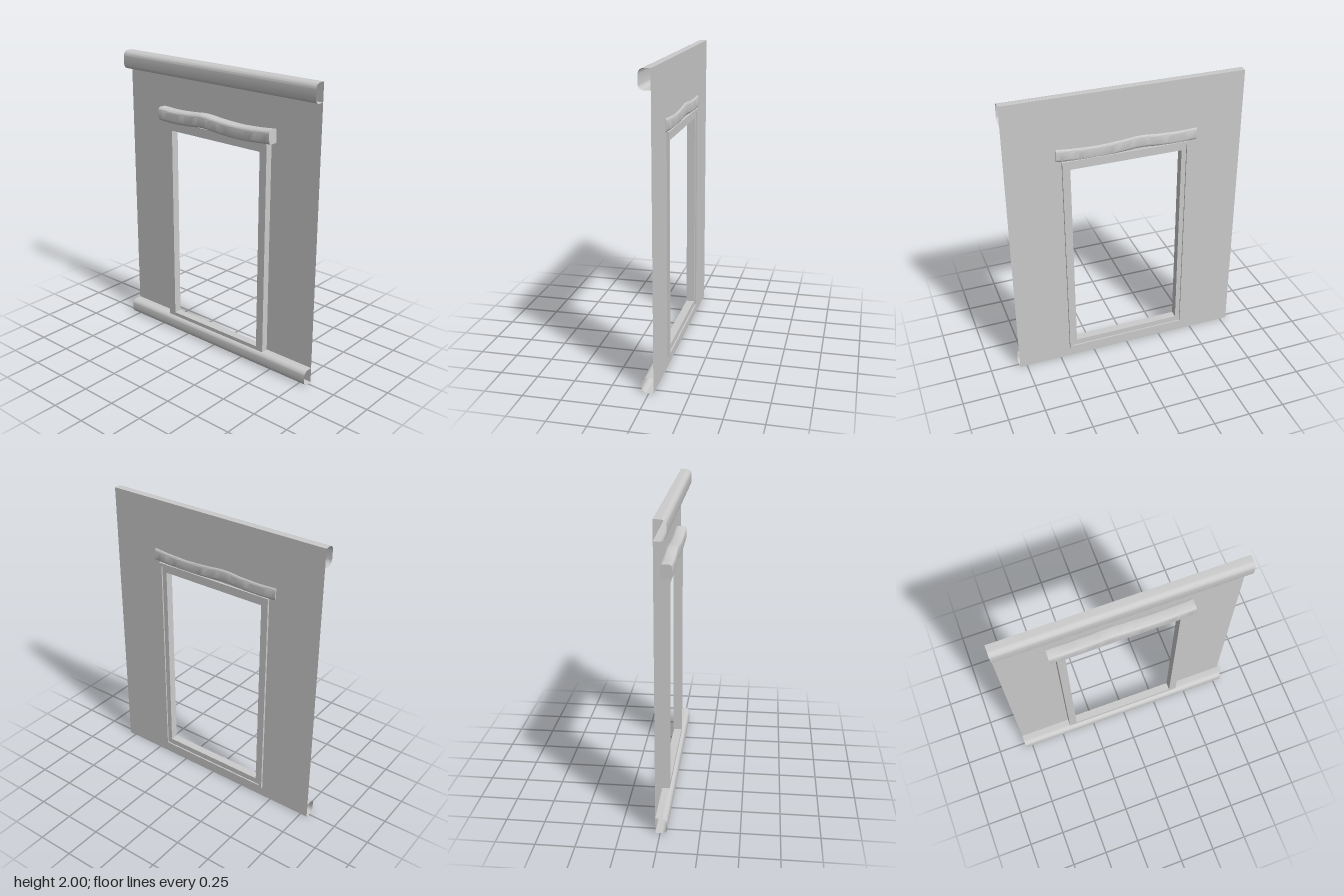
import * as THREE from 'three';
import { toCreasedNormals } from 'three/addons/utils/BufferGeometryUtils.js';

const material = new THREE.MeshStandardMaterial({ color: 0xcccccc, side: THREE.DoubleSide });

function addMesh(parent, name, geometry) {
  const mesh = new THREE.Mesh(geometry, material);
  mesh.name = name;
  parent.add(mesh);
}

// Rectangle outline from x0,y0 to x1,y1
function rect(Type, x0, y0, x1, y1) {
  return new Type([[x0, y0], [x1, y0], [x1, y1], [x0, y1]].map(p => new THREE.Vector2(...p)));
}

// Rectangular ring extruded between two depths
function ring(outer, inner, zBack, zFront) {
  const shape = rect(THREE.Shape, ...outer);
  shape.holes.push(rect(THREE.Path, ...inner));
  return new THREE.ExtrudeGeometry(shape, { depth: zFront - zBack, bevelEnabled: false }).translate(0, 0, zBack);
}

// Skin over equal-length cross-sections of [x, y, z] points
function loft(sections) {
  const n = sections[0].length, index = [];
  for (let i = 0; i < sections.length - 1; i++) {
    for (let j = 0; j < n - 1; j++) {
      const a = i * n + j, b = a + n;
      index.push(a, a + 1, b, b, a + 1, b + 1);
    }
  }
  const geometry = new THREE.BufferGeometry();
  geometry.setAttribute('position', new THREE.Float32BufferAttribute(sections.flat(2), 3));
  geometry.setIndex(index);
  return toCreasedNormals(geometry, 0.7);
}

// Quarter-round corner in the z-y plane, clockwise from angle a
function corner(z, y, r, a, steps = 8) {
  return Array.from({ length: steps + 1 }, (_, i) => {
    const t = a - (i / steps) * Math.PI / 2;
    return [z + r * Math.cos(t), y + r * Math.sin(t)];
  });
}

// Hollow rail: open at the ends and closed by the wall behind
function rail(y0, y1) {
  const back = -0.03, front = 0.045, r = 0.035;
  const profile = [
    [back, y1],
    ...corner(front - r, y1 - r, r, Math.PI / 2),
    ...corner(front - r, y0 + r, r, 0),
    [back, y0],
  ];
  return loft([-0.8, 0.8].map(x => profile.map(([z, y]) => [x, y, z])));
}

// Wavy rounded beam with closed, slightly slanted ends
function lintelBeam() {
  const r = 0.022, hz = 0.041, hy = 0.046;
  const profile = [
    ...corner(-hz + r, hy - r, r, Math.PI),
    ...corner(hz - r, hy - r, r, Math.PI / 2),
    ...corner(hz - r, -hy + r, r, 0),
    ...corner(-hz + r, -hy + r, r, -Math.PI / 2),
  ];
  profile.push(profile[0]);
  const wave = new THREE.SplineCurve([
    [-0.479, 1.609], [-0.35, 1.604], [-0.22, 1.609], [-0.09, 1.619],
    [0.05, 1.607], [0.2, 1.6], [0.34, 1.605], [0.468, 1.616],
  ].map(p => new THREE.Vector2(...p)));
  const centres = wave.getPoints(40);
  const sections = centres.map((c, i) => {
    const lean = i === 0 || i === 40 ? -0.05 : 0;
    return profile.map(([z, y]) => [c.x + y * lean, c.y + y, z + 0.002]);
  });
  const cap = c => profile.map(() => [c.x, c.y, 0.002]);
  return loft([cap(centres[0]), ...sections, cap(centres[40])]);
}

export function createModel() {
  const model = new THREE.Group();
  model.name = 'wallWithOpening';

  // Thin wall sheet with the doorway cut out
  const wall = rect(THREE.Shape, -0.8, 0, 0.8, 2);
  wall.holes.push(rect(THREE.Path, -0.43, 0.07, 0.43, 1.565));
  addMesh(model, 'wall', new THREE.ShapeGeometry(wall).translate(0, 0, -0.03));

  // Rails along the top and bottom
  addMesh(model, 'topRail', rail(1.875, 2));
  addMesh(model, 'bottomRail', rail(0, 0.105));

  // Stepped frame: the outer ring stands further out at the back
  const frame = new THREE.Group();
  frame.name = 'frame';
  const step = [-0.411, 0.09, 0.411, 1.545];
  addMesh(frame, 'outerFrame', ring([-0.432, 0.07, 0.432, 1.568], step, -0.045, 0.02));
  addMesh(frame, 'innerFrame', ring(step, [-0.378, 0.13, 0.378, 1.505], -0.035, 0.02));
  model.add(frame);

  // Beam above the opening
  addMesh(model, 'lintel', lintelBeam());
  return model;
}
